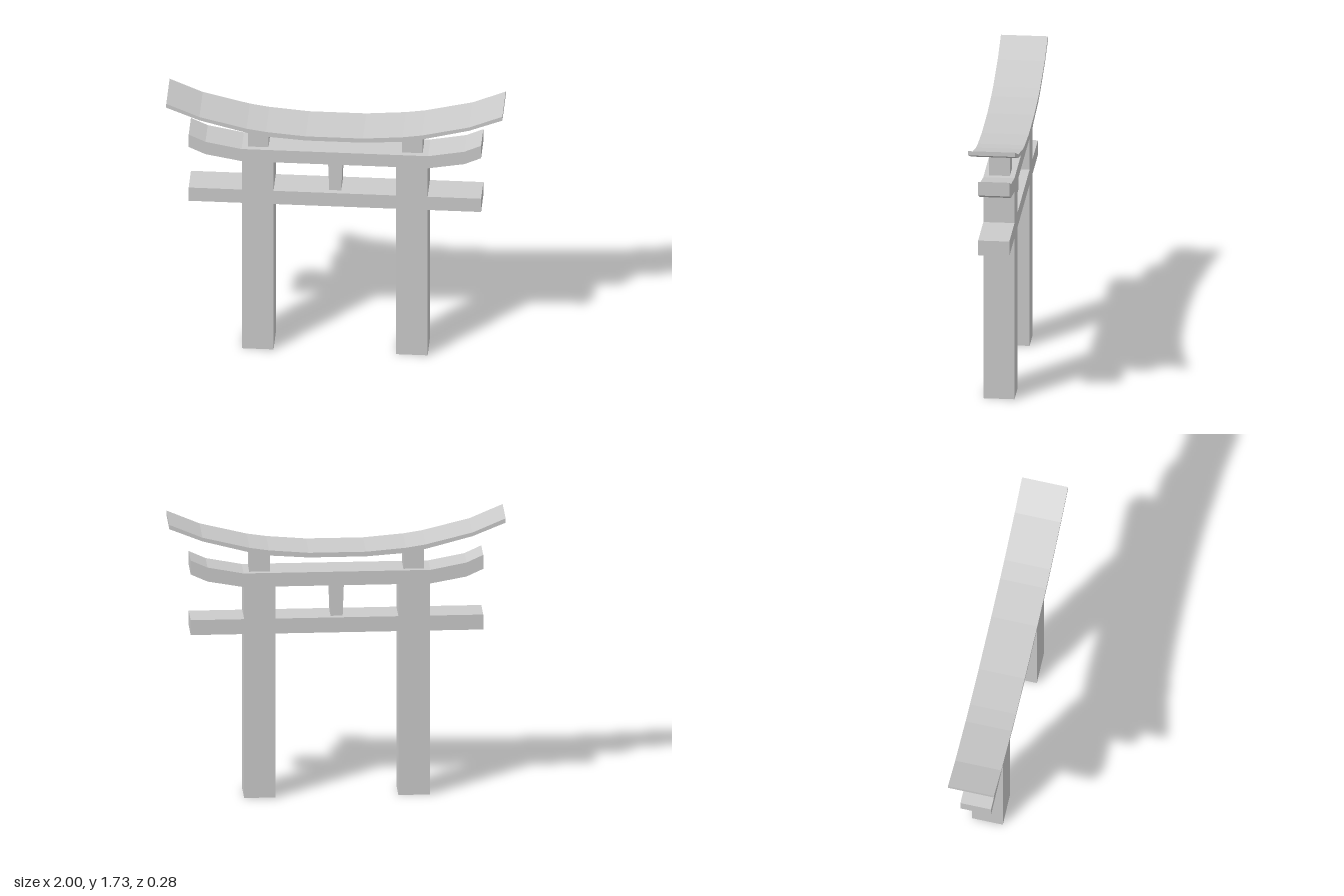
import * as THREE from 'three';

const material = new THREE.MeshStandardMaterial({ color: 0xcccccc, flatShading: true });
const HALF_DEPTH = 0.093;

function addMesh(group, name, geometry) {
  const mesh = new THREE.Mesh(geometry, material);
  mesh.name = name;
  group.add(mesh);
  return mesh;
}

// Box given by its x and y limits, centred on z = 0
function addBox(group, name, x0, x1, y0, y1, halfDepth = HALF_DEPTH) {
  const box = addMesh(group, name, new THREE.BoxGeometry(x1 - x0, y1 - y0, halfDepth * 2));
  box.position.set((x0 + x1) / 2, (y0 + y1) / 2, 0);
  return box;
}

// Front outline pushed through z, centred on z = 0
function extrudeOutline(points, halfDepth) {
  const shape = new THREE.Shape(points.map(([x, y]) => new THREE.Vector2(x, y)));
  return new THREE.ExtrudeGeometry(shape, { depth: halfDepth * 2, bevelEnabled: false })
    .translate(0, 0, -halfDepth);
}

// Curved beam from rows of [x, bottom, top] for its +x half, mirrored to -x
function curvedBeam(rows, halfDepth) {
  const mirrored = rows.map(([x, b, t]) => [-x, b, t]).reverse();
  const all = [...mirrored, ...rows];
  const bottom = all.map(([x, b]) => [x, b]);
  const top = all.map(([x, , t]) => [x, t]).reverse();
  return extrudeOutline([...bottom, ...top], halfDepth);
}

export function createModel() {
  const gate = new THREE.Group();
  gate.name = 'gate';

  // Pillars, lower beam ends and the short posts under the roof
  for (const [side, s] of [['left', 1], ['right', -1]]) {
    const box = (name, a, b, y0, y1, d) =>
      addBox(gate, `${side}${name}`, Math.min(a * s, b * s), Math.max(a * s, b * s), y0, y1, d);
    box('Pillar', 0.365, 0.552, 0, 1.315);
    box('LowerBeamEnd', 0.552, 0.87, 1.022, 1.115);
    box('RoofPost', 0.397, 0.52, 1.4, 1.547, 0.062);
  }

  // Lower beam between the pillars
  addBox(gate, 'lowerBeam', -0.365, 0.365, 1.022, 1.115);

  // Slightly tapered strut between the beams
  addMesh(gate, 'centreStrut', extrudeOutline(
    [[-0.036, 1.115], [0.036, 1.115], [0.043, 1.315], [-0.043, 1.315]], 0.06));

  // Upper beam with upturned ends
  addMesh(gate, 'upperBeam', curvedBeam(
    [[0.555, 1.315, 1.4], [0.77, 1.354, 1.441], [0.87, 1.4, 1.487]], HALF_DEPTH));

  // Thin sweeping roof slab
  addMesh(gate, 'roof', curvedBeam([
    [0.17, 1.507, 1.536], [0.407, 1.524, 1.556], [0.523, 1.546, 1.574],
    [0.803, 1.62, 1.643], [1, 1.7, 1.727],
  ], 0.14));

  return gate;
}
